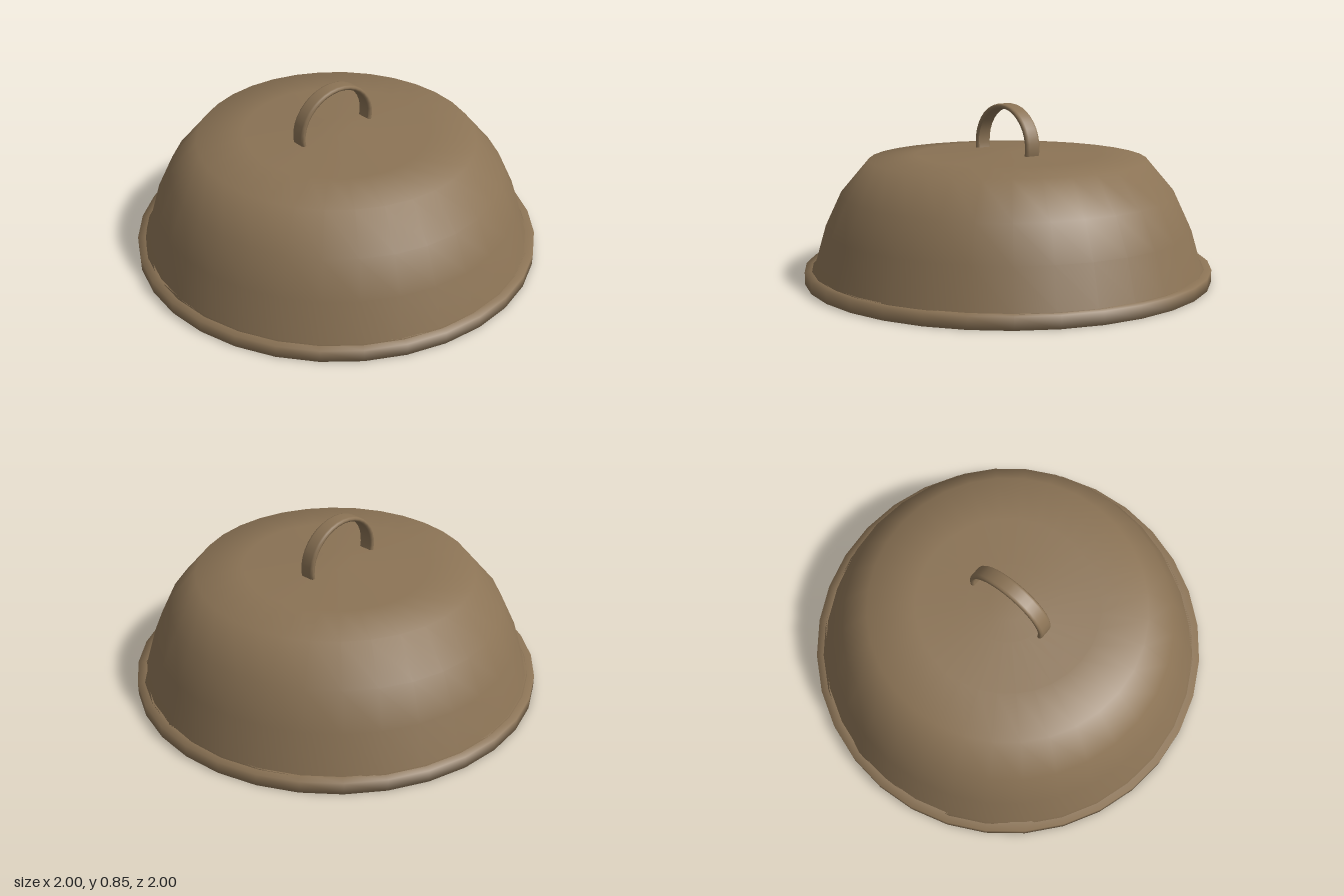
import * as THREE from 'three';

const points = (list) => list.map(([x, y]) => new THREE.Vector2(x, y));

export function createModel() {
  const group = new THREE.Group();
  const bronze = new THREE.MeshStandardMaterial({ color: 0x8b7355 });
  bronze.name = 'bronze brown';

  const addPart = (name, geometry) => {
    const mesh = new THREE.Mesh(geometry, bronze);
    mesh.name = name;
    group.add(mesh);
    return mesh;
  };

  // Hollow dome: down the inside, round the foot, then up the outside
  addPart('dome', new THREE.LatheGeometry(points([
    [0, 0.6], [0.2, 0.592], [0.45, 0.583], [0.66, 0.565], [0.8, 0.41],
    [0.88, 0.245], [0.935, 0.06], [0.945, 0.02], [0.965, 0.02], [0.965, 0.06],
    [0.955, 0.06], [0.9, 0.25], [0.82, 0.42], [0.68, 0.585],
    [0.45, 0.605], [0.2, 0.614], [0.09, 0.625], [0, 0.625],
  ]), 32));

  // Flat rim band around the foot
  addPart('rim', new THREE.LatheGeometry(points([
    [0.945, 0.06], [0.96, 0], [1, 0], [1, 0.06], [0.945, 0.06],
  ]), 32));

  // Handle: a flat band with rounded edges bent into an arch
  const sink = 0.235; // how far the ends run below the arch centre
  const arch = new THREE.LatheGeometry(points([
    [0.2, 0.03], [0.2, -0.03], [0.205, -0.038], [0.215, -0.04], [0.222, -0.034],
    [0.225, -0.025], [0.225, 0.025], [0.222, 0.034], [0.215, 0.04], [0.205, 0.038], [0.2, 0.03],
  ]), 20, Math.PI / 2 - sink, Math.PI + 2 * sink);
  arch.rotateX(Math.PI / 2);
  arch.scale(1, 0.9, 1);
  addPart('handle', arch).position.set(-0.015, 0.648, -0.004);

  return group;
}
